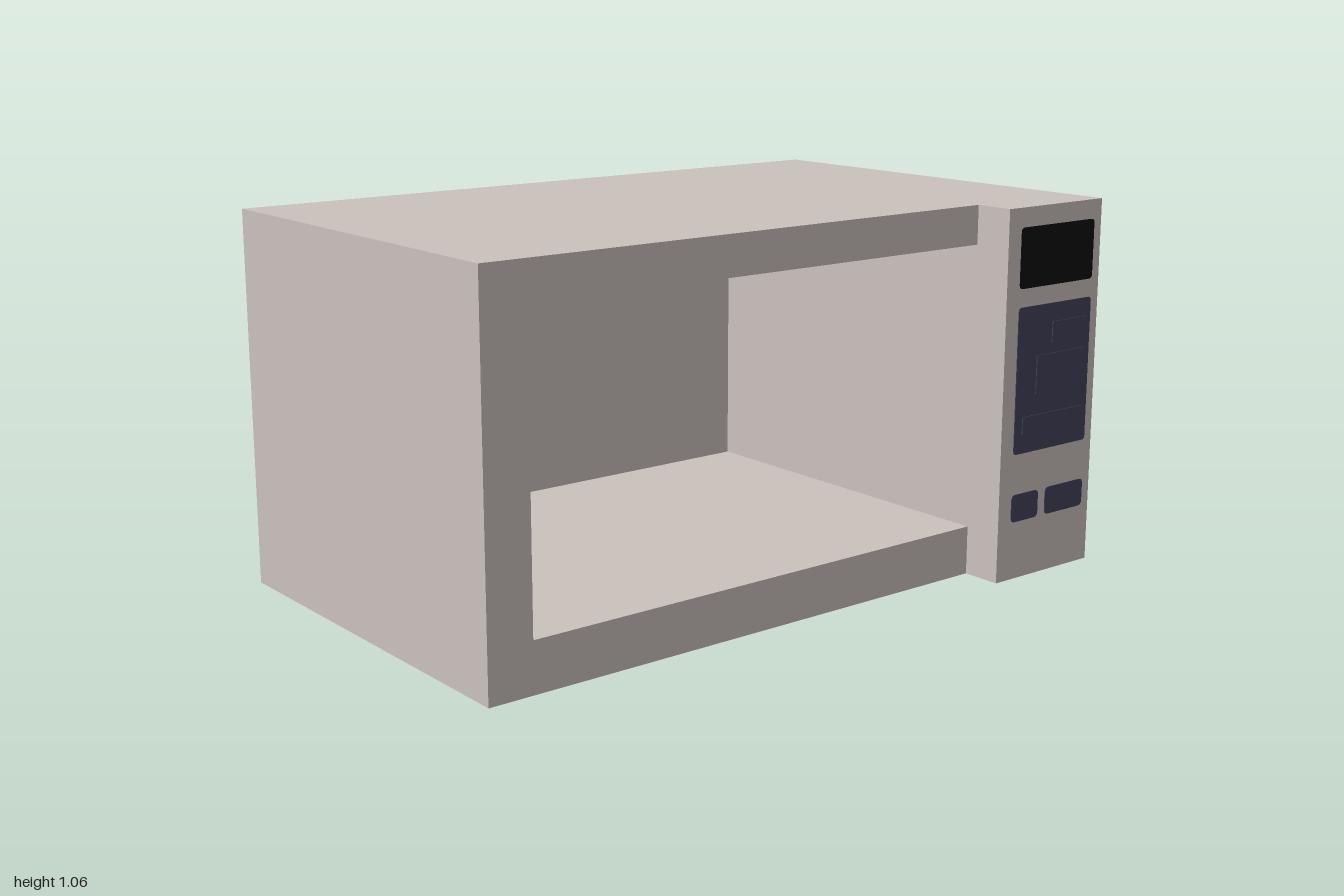
import * as THREE from 'three';

// Rounded rectangle in the side plane; u runs along -z, v along y
function sideRect(path, z0, z1, y0, y1, r = 0) {
  const u0 = -z1, u1 = -z0;
  if (r === 0) {
    path.moveTo(u0, y0).lineTo(u1, y0).lineTo(u1, y1).lineTo(u0, y1).closePath();
    return path;
  }
  path.moveTo(u0 + r, y0).lineTo(u1 - r, y0).quadraticCurveTo(u1, y0, u1, y0 + r);
  path.lineTo(u1, y1 - r).quadraticCurveTo(u1, y1, u1 - r, y1);
  path.lineTo(u0 + r, y1).quadraticCurveTo(u0, y1, u0, y1 - r);
  path.lineTo(u0, y0 + r).quadraticCurveTo(u0, y0, u0 + r, y0);
  return path;
}

// Extrudes a side-plane shape from x0 to x1
function sideExtrude(name, shape, x0, x1, material) {
  const geometry = new THREE.ExtrudeGeometry(shape, { depth: x1 - x0, bevelEnabled: false, curveSegments: 4 });
  geometry.rotateY(Math.PI / 2).translate(x0, 0, 0);
  const mesh = new THREE.Mesh(geometry, material);
  mesh.name = name;
  return mesh;
}

function createMaterial(name, color) {
  const material = new THREE.MeshStandardMaterial({ color });
  material.name = name;
  return material;
}

export function createModel() {
  const group = new THREE.Group();
  group.name = 'microwave';
  const casing = createMaterial('warmGrey', 0xc9c1bc);
  const black = createMaterial('displayBlack', 0x0c0c0c);
  const navy = createMaterial('buttonNavy', 0x42405a);

  const back = -0.65, cavityBack = -0.54, frame = 0.53, panel = 0.645;
  const plate = (name, z0, z1, y0, y1, x0, x1, material, r = 0) =>
    group.add(sideExtrude(name, sideRect(new THREE.Shape(), z0, z1, y0, y1, r), x0, x1, material));

  // Casing with the open cooking cavity
  const outline = sideRect(new THREE.Shape(), -1, 1, 0, 1.06);
  outline.holes.push(sideRect(new THREE.Path(), -0.62, 0.87, 0.14, 0.95));
  group.add(sideExtrude('casing', outline, cavityBack, frame, casing));
  plate('backWall', -1, 1, 0, 1.06, back, cavityBack, casing);

  // Control panel standing proud of the door opening
  plate('controlPanel', -1, -0.62, 0, 1.06, frame, panel, casing);
  plate('display', -0.97, -0.67, 0.835, 1.005, panel, panel + 0.002, black, 0.012);
  plate('keypad', -0.97, -0.67, 0.365, 0.783, panel, panel + 0.002, navy, 0.012);
  plate('smallButton', -0.78, -0.67, 0.168, 0.248, panel, panel + 0.002, navy, 0.015);
  plate('wideButton', -0.97, -0.81, 0.168, 0.248, panel, panel + 0.002, navy, 0.015);

  // Raised keys on the keypad: z0, z1, y0, y1
  const keys = [[-0.95, -0.81, 0.67, 0.73], [-0.95, -0.75, 0.53, 0.64], [-0.95, -0.7, 0.42, 0.47]];
  for (const [z0, z1, y0, y1] of keys) plate('key', z0, z1, y0, y1, panel + 0.002, panel + 0.005, navy);

  return group;
}
